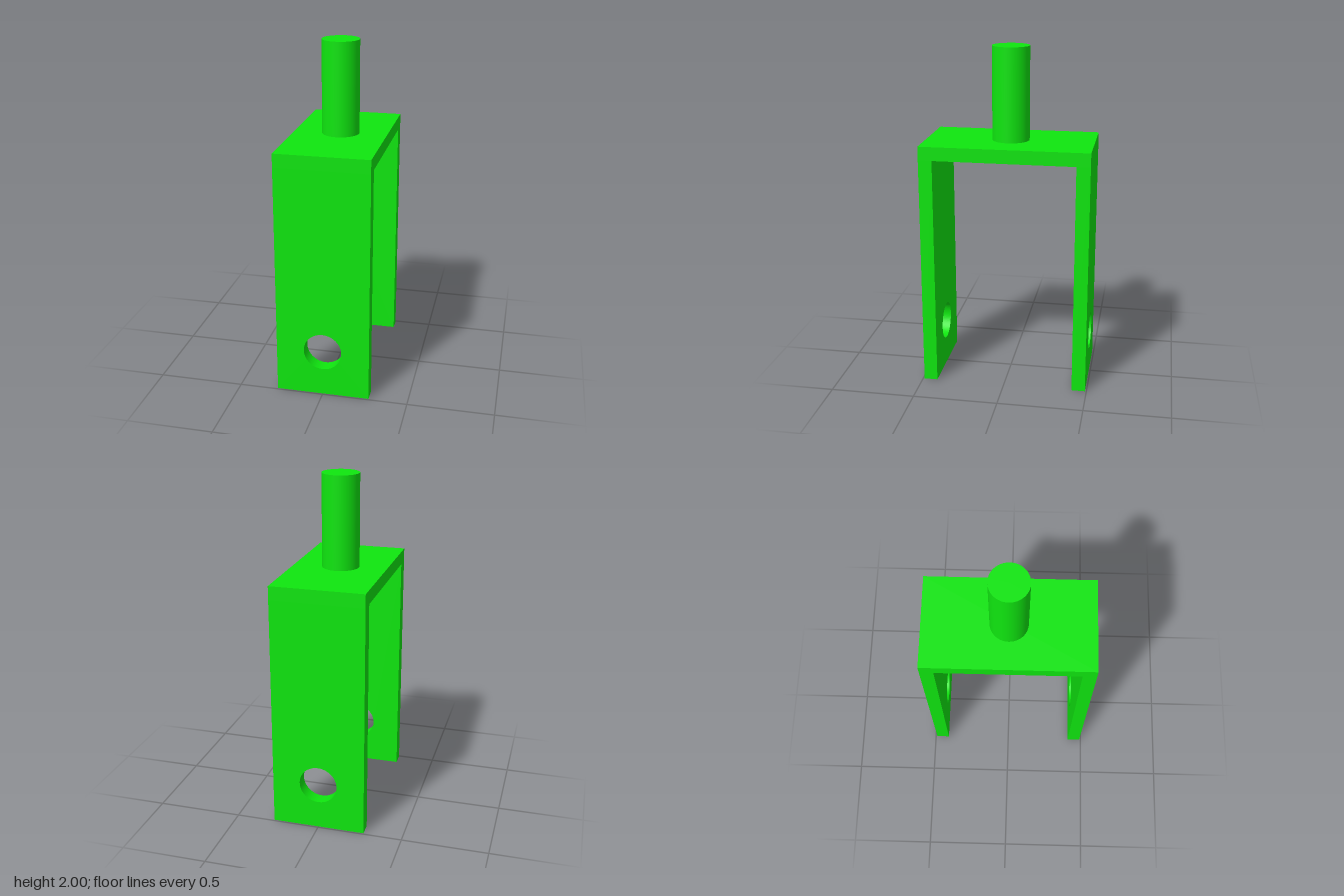
import * as THREE from 'three';

const WIDTH = 0.546, DEPTH = 0.982, PLATE = 0.08;
const SHOULDER = 1.455, TOP = 2, RADIUS = 0.109, HOLE_Y = 0.275;

export function createModel() {
  const group = new THREE.Group();
  group.name = 'clevisFork';
  const material = new THREE.MeshStandardMaterial({ color: 0x0fe60f });

  const add = (name, geometry, y, z = 0) => {
    const mesh = new THREE.Mesh(geometry, material);
    mesh.name = name;
    mesh.position.set(0, y, z);
    group.add(mesh);
  };

  // Fork legs: flat plates, each with a round pin hole near the foot
  const legHeight = SHOULDER - PLATE;
  const outline = new THREE.Shape([
    new THREE.Vector2(-WIDTH / 2, 0),
    new THREE.Vector2(WIDTH / 2, 0),
    new THREE.Vector2(WIDTH / 2, legHeight),
    new THREE.Vector2(-WIDTH / 2, legHeight),
  ]);
  outline.holes.push(new THREE.Path().absarc(0, HOLE_Y, 0.111, 0, Math.PI * 2, true));
  const leg = new THREE.ExtrudeGeometry(outline, { depth: PLATE, bevelEnabled: false, curveSegments: 48 });
  add('frontLeg', leg, 0, DEPTH / 2 - PLATE);
  add('backLeg', leg, 0, -DEPTH / 2);

  // Bridge plate joining the legs
  add('bridge', new THREE.BoxGeometry(WIDTH, PLATE, DEPTH), SHOULDER - PLATE / 2);

  // Round stem standing on the bridge
  const stemHeight = TOP - SHOULDER;
  add('stem', new THREE.CylinderGeometry(RADIUS, RADIUS, stemHeight, 64), SHOULDER + stemHeight / 2);

  return group;
}
